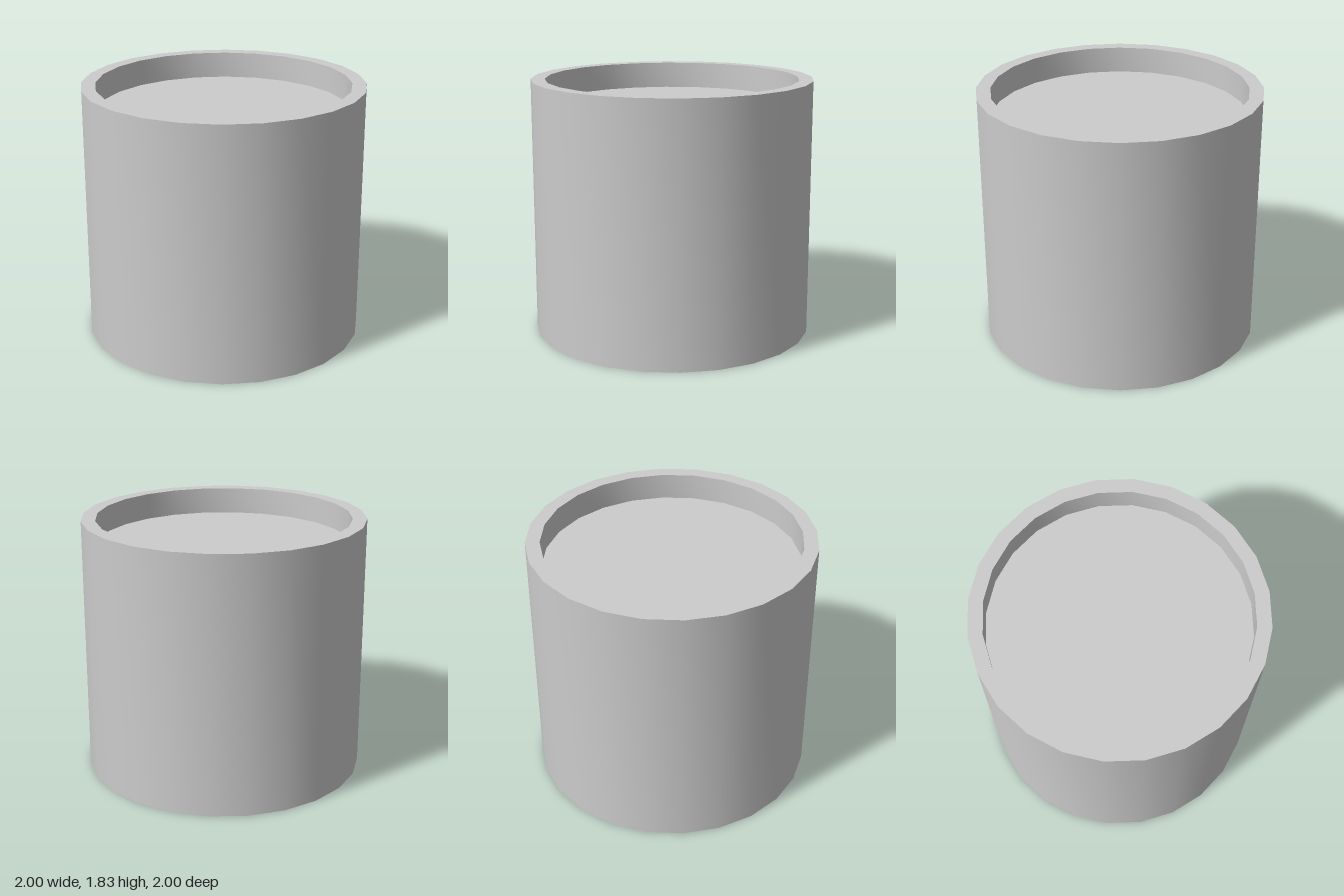
import * as THREE from 'three';
import { toCreasedNormals } from 'three/addons/utils/BufferGeometryUtils.js';

const SIDES = 24;
const HEIGHT = 1.83;
const OUTER = 1;
const INNER = 0.9;
const RECESS = 0.19;

export function createModel() {
  const group = new THREE.Group();
  group.name = 'cylindricalContainer';
  const material = new THREE.MeshStandardMaterial({ color: 0xcccccc });

  // Shell: base, outer wall, flat rim and inner wall down to the recess
  const profile = [
    [0, 0],
    [OUTER, 0],
    [OUTER, HEIGHT],
    [INNER, HEIGHT],
    [INNER, HEIGHT - RECESS],
  ].map(([r, y]) => new THREE.Vector2(r, y));
  const shell = new THREE.Mesh(
    toCreasedNormals(new THREE.LatheGeometry(profile, SIDES), 0.6),
    material
  );
  shell.name = 'shell';
  group.add(shell);

  // Flat surface set below the rim
  const floor = new THREE.Mesh(new THREE.CircleGeometry(INNER, SIDES), material);
  floor.rotation.x = -Math.PI / 2;
  floor.position.y = HEIGHT - RECESS;
  floor.name = 'recessedTop';
  group.add(floor);

  return group;
}
